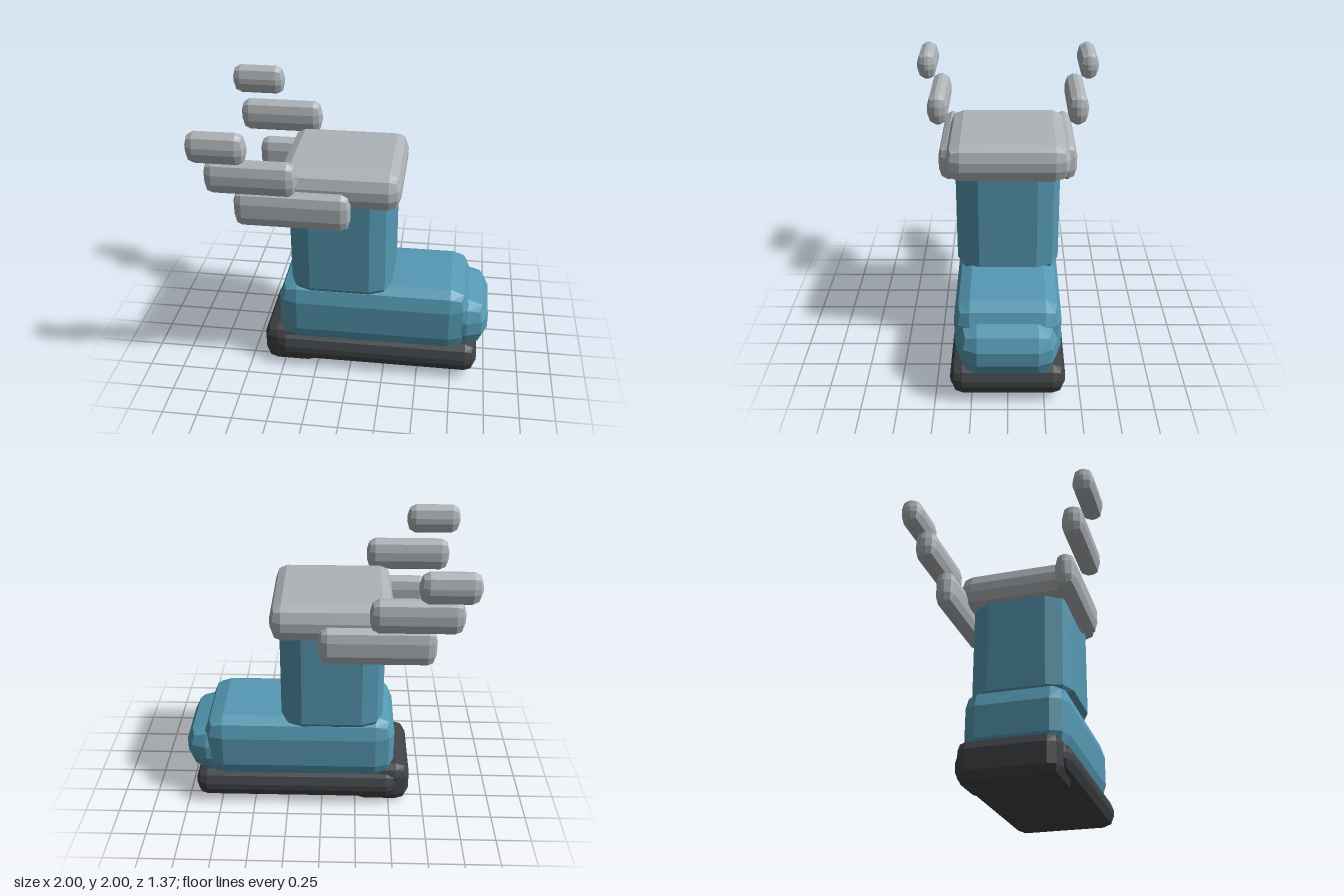
import * as THREE from 'three';
import { RoundedBoxGeometry } from 'three/addons/geometries/RoundedBoxGeometry.js';

const material = (name, color) => {
  const m = new THREE.MeshStandardMaterial({ color, flatShading: true });
  m.name = name;
  return m;
};

// Low-poly rounded block between two corners, with its own rounding radius on each axis
function block(name, mat, min, max, radii) {
  const size = max.map((v, i) => v - min[i]);
  const [w, h, d] = size.map((s, i) => s / radii[i]);
  const geometry = new RoundedBoxGeometry(w, h, d, 1, 1);
  geometry.scale(...radii);
  const mesh = new THREE.Mesh(geometry, mat);
  mesh.name = name;
  mesh.position.set(...min.map((v, i) => v + size[i] / 2));
  return mesh;
}

export function createModel() {
  const blue = material('blue leather', 0x5599b3);
  const grey = material('pale grey', 0xaeb3b7);
  const dark = material('dark rubber', 0x3f4245);
  const boot = new THREE.Group();
  boot.name = 'wingedBoot';

  // Sole and heel
  boot.add(block('sole', dark, [-0.565, 0.05, -0.395], [0.935, 0.265, 0.395], [0.085, 0.085, 0.085]));
  boot.add(block('heel', dark, [-0.65, 0, -0.35], [-0.22, 0.305, 0.35], [0.1, 0.08, 0.08]));

  // Foot, toe cap and shaft
  boot.add(block('foot', blue, [-0.53, 0.2, -0.365], [0.86, 0.705, 0.365], [0.14, 0.14, 0.11]));
  boot.add(block('toeCap', blue, [0.64, 0.235, -0.335], [1, 0.595, 0.335], [0.15, 0.13, 0.13]));
  boot.add(block('shaft', blue, [-0.44, 0.63, -0.365], [0.295, 1.47, 0.365], [0.155, 0.075, 0.16]));

  // Cuff
  boot.add(block('cuff', grey, [-0.49, 1.37, -0.425], [0.35, 1.635, 0.425], [0.08, 0.1, 0.1]));

  // Three feathers on each side: x range, y range, z range
  const feathers = [
    [-0.77, 0.02, 1.245, 1.515, 0.355, 0.495],
    [-0.925, -0.315, 1.535, 1.77, 0.445, 0.595],
    [-1, -0.61, 1.79, 2, 0.54, 0.685],
  ];
  for (const side of [1, -1]) {
    const wing = new THREE.Group();
    wing.name = side > 0 ? 'frontWing' : 'backWing';
    feathers.forEach(([x0, x1, y0, y1, z0, z1], i) => {
      const z = side > 0 ? [z0, z1] : [-z1, -z0];
      wing.add(block('feather' + (i + 1), grey, [x0, y0, z[0]], [x1, y1, z[1]], [0.06, 0.085, 0.06]));
    });
    boot.add(wing);
  }
  return boot;
}
